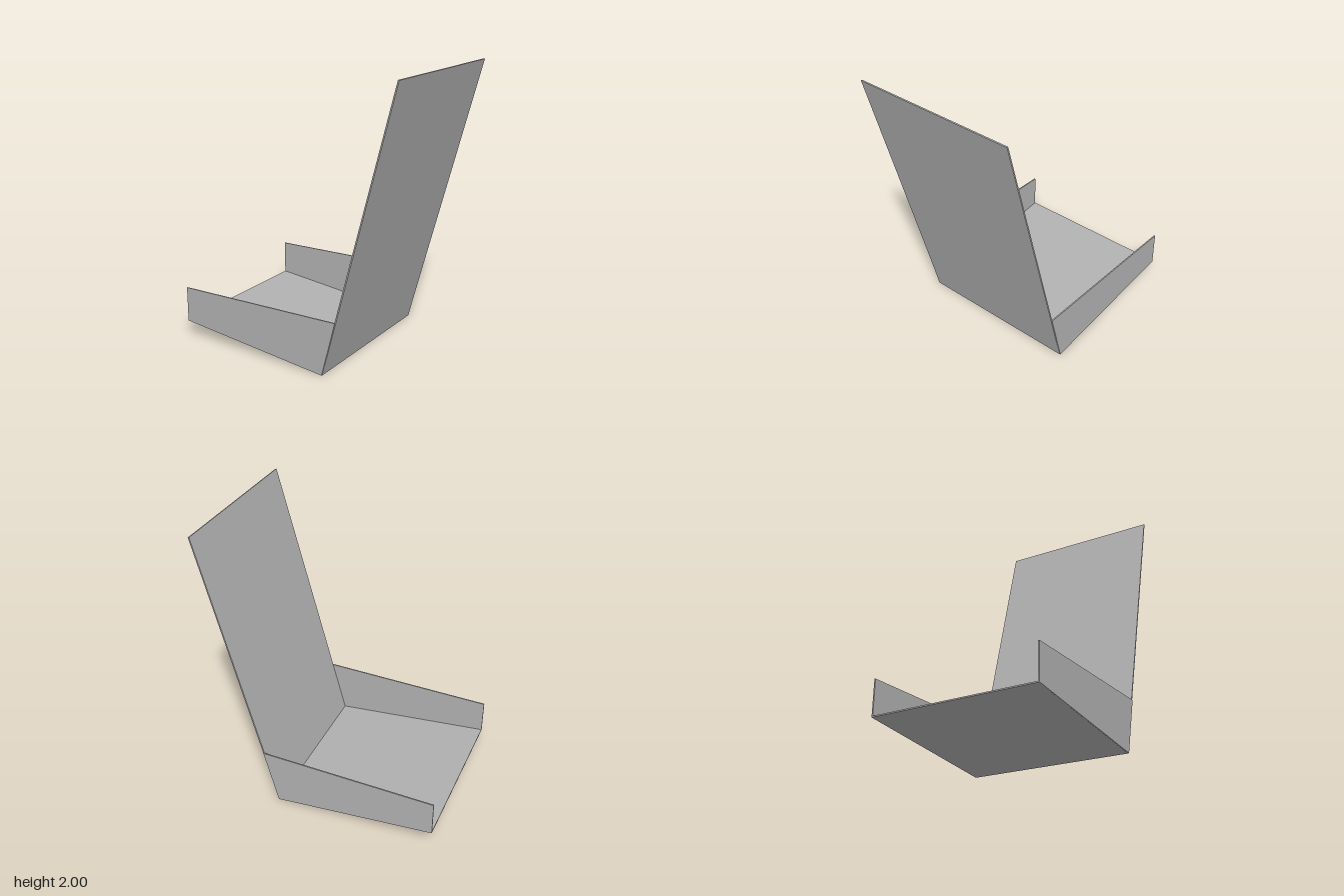
import * as THREE from 'three';

const grey = new THREE.MeshStandardMaterial({ color: 0xb0b0b0 });
grey.name = 'plain grey';

// Extrudes an x-y outline along z, from z0 to z1
function panel(name, outline, z0, z1) {
  const shape = new THREE.Shape(outline.map(([x, y]) => new THREE.Vector2(x, y)));
  const geometry = new THREE.ExtrudeGeometry(shape, { depth: z1 - z0, bevelEnabled: false });
  geometry.translate(0, 0, z0);
  const mesh = new THREE.Mesh(geometry, grey);
  mesh.name = name;
  return mesh;
}

export function createModel() {
  const model = new THREE.Group();
  model.name = 'seat';

  // Thin sloping seat base
  model.add(panel('seatBase', [[-0.85, 0.117], [0.311, 0], [0.311, 0.009], [-0.85, 0.126]], -0.592, 0.592));

  // Tall reclined back
  model.add(panel('backrest', [[0.302, 0.002], [0.312, 0], [0.846, 1.998], [0.837, 2]], -0.594, 0.594));

  // Tapered side walls
  const side = [[-0.85, 0.117], [0.311, 0.001], [0.414, 0.398], [-0.85, 0.372]];
  model.add(panel('leftSide', side, 0.591, 0.6));
  model.add(panel('rightSide', side, -0.6, -0.591));

  return model;
}
